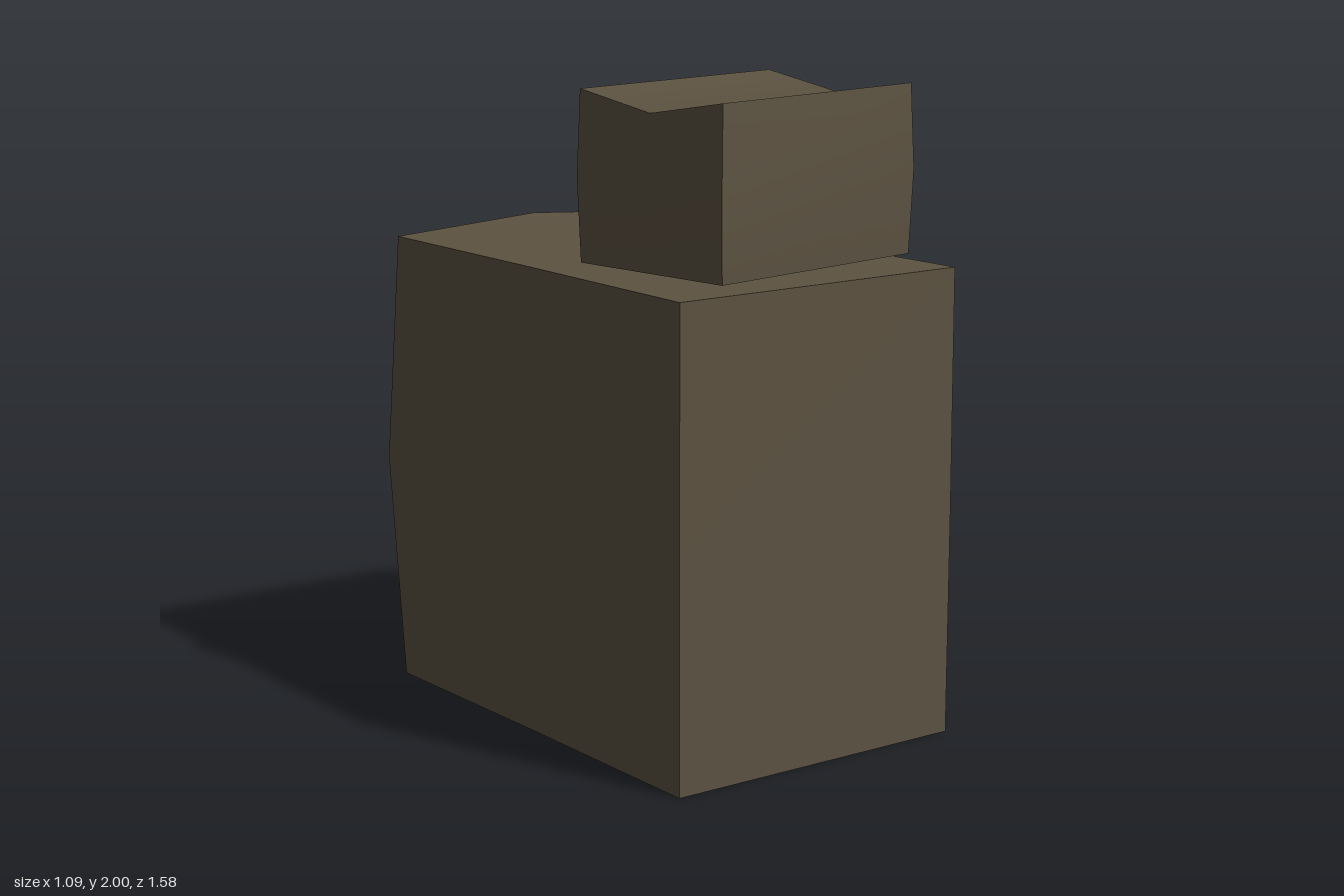
import * as THREE from 'three';
import { toCreasedNormals } from 'three/addons/utils/BufferGeometryUtils.js';

// Open-bottomed block. Each ring point: [edgeX, edgeZ, waistX, waistZ, topY],
// running counterclockwise seen from above; the roof fans out from 'centre'.
function block(name, ring, bottomY, waistY, centre, material) {
  const positions = [];
  const tri = (...corners) => corners.forEach((c) => positions.push(...c));
  const rows = [
    ring.map(([x, z]) => [x, bottomY, z]),
    ring.map(([, , x, z]) => [x, waistY, z]),
    ring.map(([x, z, , , y]) => [x, y, z]),
  ];
  ring.forEach((_, i) => {
    const j = (i + 1) % ring.length;
    // Walls: lower and upper band
    for (let r = 0; r < 2; r++) {
      const [low, up] = [rows[r], rows[r + 1]];
      tri(low[i], low[j], up[j]);
      tri(low[i], up[j], up[i]);
    }
    // Roof
    tri(centre, rows[2][i], rows[2][j]);
  });
  const geometry = new THREE.BufferGeometry();
  geometry.setAttribute('position', new THREE.Float32BufferAttribute(positions, 3));
  const mesh = new THREE.Mesh(toCreasedNormals(geometry, 0.5), material);
  mesh.name = name;
  return mesh;
}

export function createModel() {
  const group = new THREE.Group();
  group.name = 'stackedBlocks';
  const stone = new THREE.MeshStandardMaterial({ color: 0x5c5241, side: THREE.DoubleSide });
  stone.name = 'brownStone';

  // Large lower block with a bevelled back corner and bulging back walls
  group.add(block('lowerBlock', [
    [-0.545, 0.765, -0.545, 0.765, 1.46],
    [0.485, 0.79, 0.487, 0.79, 1.46],
    [0.465, 0.03, 0.495, 0.02, 1.46],
    [0.52, -0.665, 0.54, -0.658, 1.46],
    [0.475, -0.72, 0.475, -0.715, 1.46],
    [0, -0.713, 0, -0.69, 1.495],
    [-0.508, -0.747, -0.53, -0.793, 1.46],
    [-0.522, 0, -0.525, 0, 1.46],
  ], 0, 0.73, [0, 1.46, 0], stone));

  // Small turned upper block with a sagging roof
  group.add(block('upperBlock', [
    [-0.35, 0.712, -0.365, 0.728, 2],
    [0.465, 0.605, 0.468, 0.62, 2],
    [0.428, 0.318, 0.428, 0.318, 1.95],
    [0.39, 0.027, 0.39, 0.027, 2],
    [-0.425, 0.133, -0.44, 0.135, 2],
    [-0.388, 0.422, -0.403, 0.424, 1.95],
  ], 1.48, 1.74, [0.02, 1.95, 0.37], stone));

  return group;
}
